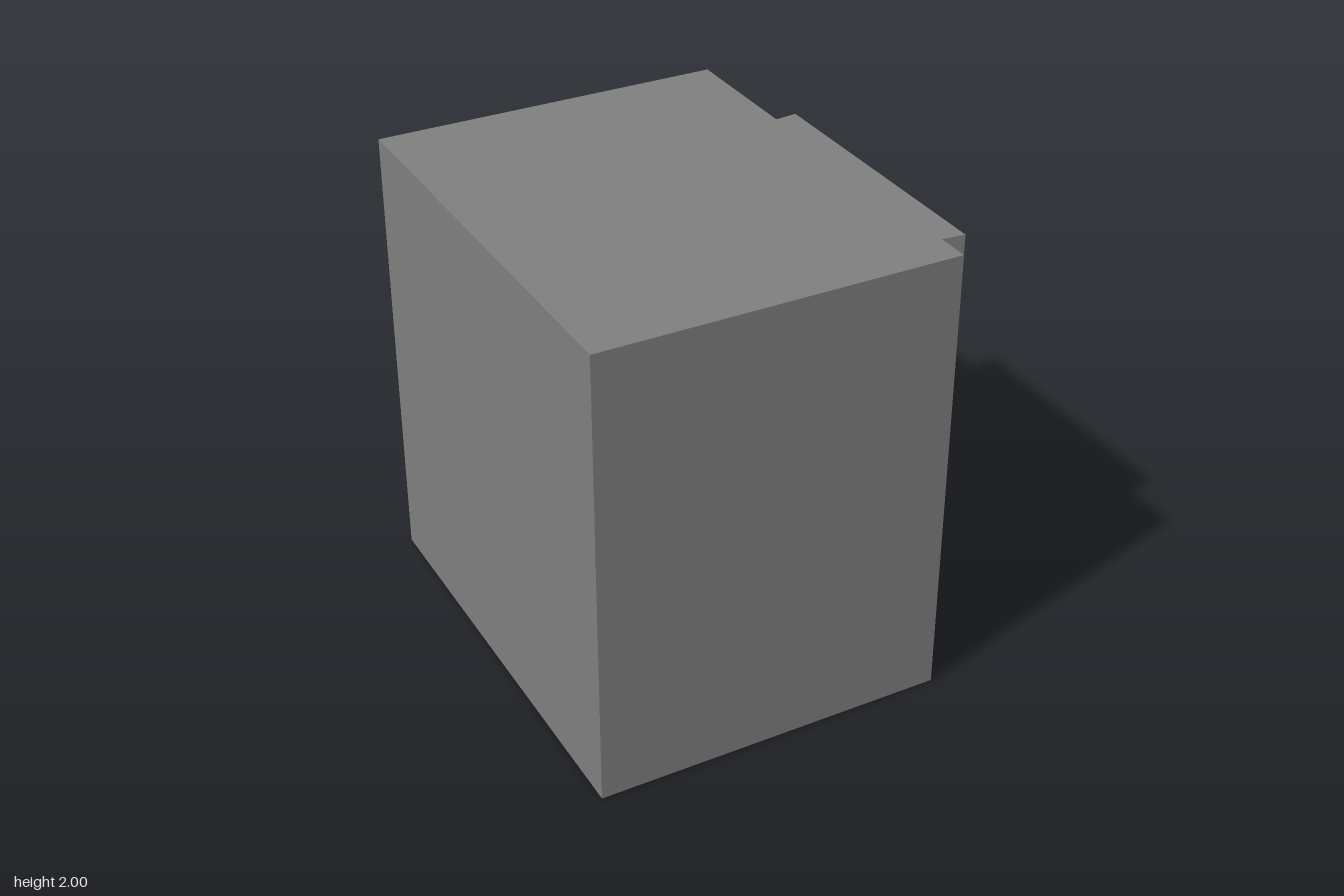
import * as THREE from 'three';

export function createModel() {
  const model = new THREE.Group();
  const grey = new THREE.MeshStandardMaterial({ color: 0x7f7f7f, name: 'steel grey' });
  const greyPanel = new THREE.MeshStandardMaterial({ color: 0x7f7f7f, name: 'thin steel grey', side: THREE.DoubleSide });
  const red = new THREE.MeshStandardMaterial({ color: 0x270f0f, name: 'dark red' });

  const add = (name, geometry, material, parent = model) => {
    const mesh = new THREE.Mesh(geometry, material);
    mesh.name = name;
    parent.add(mesh);
    return mesh;
  };
  const polygon = (points) => new THREE.Shape(points.map(([x, y]) => new THREE.Vector2(x, y)));

  // Cabin: thin-walled box without its +x face
  const cabin = new THREE.BoxGeometry(1.53, 2, 1.964);
  cabin.setIndex(Array.from(cabin.index.array).slice(6));
  cabin.clearGroups();
  add('cabin', cabin, greyPanel).position.set(-0.125, 1, 0);

  // Handrail: U-shaped band around the three inner walls
  const outer = 0.967, inner = 0.892, end = 0.64;
  const rail = new THREE.ExtrudeGeometry(polygon([
    [end, -outer], [end, -inner], [-0.8, -inner], [-0.8, inner],
    [end, inner], [end, outer], [-0.875, outer], [-0.875, -outer],
  ]), { depth: 0.24, bevelEnabled: false });
  rail.rotateX(-Math.PI / 2);
  add('handrail', rail, grey).position.y = 0.52;

  // Door frame: four mitred bars, red on the front of the jambs and header
  const frame = new THREE.Group();
  frame.name = 'doorFrame';
  model.add(frame);
  const W = 0.645, H = 1.87, w = 0.605, top = 1.81, sill = 0.062;
  const bars = [
    ['frameSill', [[-W, 0], [W, 0], [w, sill], [-w, sill]], grey],
    ['frameHeader', [[-W, H], [-w, top], [w, top], [W, H]], red],
    ['frameLeftJamb', [[W, 0], [W, H], [w, top], [w, sill]], red],
    ['frameRightJamb', [[-W, 0], [-w, sill], [-w, top], [-W, H]], red],
  ];
  for (const [name, points, front] of bars) {
    const bar = new THREE.ExtrudeGeometry(polygon(points), { depth: 0.14, bevelEnabled: false });
    const lids = bar.groups[0].count, total = bar.attributes.position.count;
    bar.clearGroups();
    bar.addGroup(0, lids / 2, 0);
    bar.addGroup(lids / 2, lids / 2, 1);
    bar.addGroup(lids, total - lids, 0);
    // the rear top corners lean slightly inwards
    const p = bar.attributes.position;
    for (let i = 0; i < p.count; i++) {
      if (p.getY(i) > 1.85 && p.getZ(i) < 0.01) p.setX(i, p.getX(i) * 0.975);
    }
    bar.computeVertexNormals();
    bar.rotateY(Math.PI / 2);
    add(name, bar, [grey, front], frame).position.x = 0.75;
  }

  // Two door leaves with grey edges and a narrow gap between them
  for (const side of [1, -1]) {
    const leaf = new THREE.BoxGeometry(0.03, top - sill, 0.6);
    add(side > 0 ? 'leftDoor' : 'rightDoor', leaf, [red, red, red, red, grey, grey])
      .position.set(0.735, (top + sill) / 2, side * 0.305);
  }
  return model;
}
